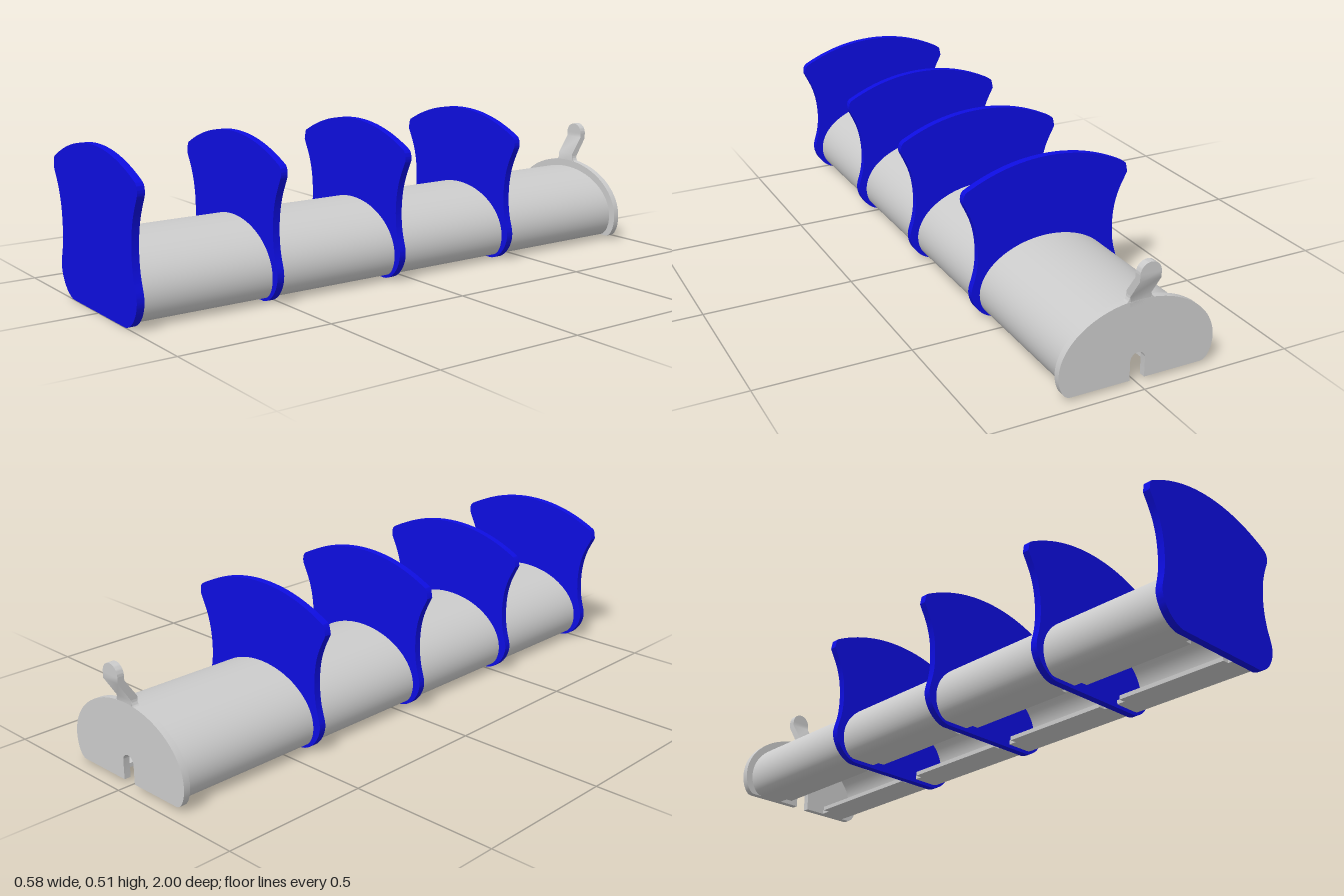
import * as THREE from 'three';
import { toCreasedNormals } from 'three/addons/utils/BufferGeometryUtils.js';

const grey = new THREE.MeshStandardMaterial({ color: 0xcccccc });
const blue = new THREE.MeshStandardMaterial({ color: 0x0d0de0 });

// Extrude a front-on outline from z0 to z1, smooth on curves and sharp at edges
function slab(name, shape, z0, z1, material) {
  const geo = new THREE.ExtrudeGeometry(shape, { depth: z1 - z0, bevelEnabled: false, curveSegments: 16 });
  geo.translate(0, 0, z0);
  const mesh = new THREE.Mesh(toCreasedNormals(geo, 0.6), material);
  mesh.name = name;
  return mesh;
}

// Domed section: half ellipse above springing height, rounded lower corners
function domePoints(rx, top, spring, bottom, flatX, gapX) {
  const pts = [new THREE.Vector2(gapX, bottom)];
  const corner = new THREE.CubicBezierCurve(
    new THREE.Vector2(flatX, bottom), new THREE.Vector2(flatX + (rx - flatX) * 0.6, bottom),
    new THREE.Vector2(rx, spring - (spring - bottom) * 0.5), new THREE.Vector2(rx, spring));
  pts.push(...corner.getPoints(10));
  for (let i = 1; i <= 24; i++) {
    const a = (i / 24) * Math.PI / 2;
    pts.push(new THREE.Vector2(rx * Math.cos(a), spring + (top - spring) * Math.sin(a)));
  }
  const mirrored = pts.slice(0, -1).reverse().map((p) => new THREE.Vector2(-p.x, p.y));
  return pts.concat(mirrored);
}

// Flared divider outline
function dividerShape() {
  const s = new THREE.Shape();
  s.moveTo(-0.18, 0);
  s.lineTo(0.18, 0);
  s.bezierCurveTo(0.225, 0.005, 0.262, 0.05, 0.263, 0.093);
  s.bezierCurveTo(0.264, 0.125, 0.24, 0.145, 0.24, 0.23);
  s.bezierCurveTo(0.242, 0.33, 0.275, 0.37, 0.289, 0.405);
  s.quadraticCurveTo(0.292, 0.432, 0.277, 0.441);
  s.quadraticCurveTo(0.145, 0.511, 0, 0.511);
  s.quadraticCurveTo(-0.145, 0.511, -0.277, 0.441);
  s.quadraticCurveTo(-0.285, 0.437, -0.286, 0.43);
  s.lineTo(-0.291, 0.405);
  s.bezierCurveTo(-0.275, 0.37, -0.242, 0.33, -0.242, 0.23);
  s.bezierCurveTo(-0.242, 0.145, -0.264, 0.125, -0.264, 0.093);
  s.bezierCurveTo(-0.262, 0.05, -0.225, 0.005, -0.18, 0);
  return s;
}

export function createModel() {
  const model = new THREE.Group();
  model.name = 'dividedTrough';

  // Hollow domed body, open along the underside
  const outer = domePoints(0.235, 0.245, 0.085, 0.012, 0.185, 0.1);
  const inner = domePoints(0.221, 0.231, 0.085, 0.026, 0.178, 0.1);
  model.add(slab('bodyShell', new THREE.Shape(outer.concat(inner.reverse())), -0.94, 0.98, grey));

  // Dividers, evenly spaced
  const plateZ = [0.988, 0.521, 0.054, -0.413];
  plateZ.forEach((z) => model.add(slab('divider', dividerShape(), z - 0.012, z + 0.012, blue)));

  // Lips along the opening, stopping short of each divider and the end cap
  const ends = [...plateZ, -0.94];
  for (let i = 0; i < 4; i++) {
    const length = ends[i] - ends[i + 1] - 0.08;
    for (const side of [-1, 1]) {
      const lip = new THREE.Mesh(new THREE.BoxGeometry(0.024, 0.014, length), grey);
      lip.name = 'openingLip';
      lip.position.set(side * 0.089, 0.019, (ends[i] + ends[i + 1]) / 2);
      model.add(lip);
    }
  }

  // Back cap with a round-topped notch in its lower edge
  const cap = new THREE.Shape(domePoints(0.26, 0.27, 0.085, 0.012, 0.22, 0.025));
  const notch = new THREE.Path().absarc(0, 0.075, 0.025, Math.PI, 0, true).getPoints(12);
  const capOutline = cap.getPoints().concat(notch);
  model.add(slab('backCap', new THREE.Shape(capOutline), -0.958, -0.936, grey));

  // Cranked neck of the handle, profile drawn in (-z, y) and swept across x
  const neckShape = new THREE.Shape([
    [0.936, 0.25], [0.958, 0.25], [0.958, 0.285], [1, 0.35], [1, 0.37],
    [0.977, 0.37], [0.977, 0.355], [0.936, 0.295],
  ].map(([u, v]) => new THREE.Vector2(u, v)));
  const neck = slab('handleNeck', neckShape, -0.035, 0.035, grey);
  neck.rotation.y = Math.PI / 2;
  model.add(neck);

  // Rounded handle tip
  const tip = new THREE.Shape();
  tip.moveTo(0.035, 0.37);
  tip.absarc(0, 0.37, 0.035, 0, Math.PI, false);
  model.add(slab('handleTip', tip, -1, -0.977, grey));

  // Small fillets where the handle meets the cap
  for (const side of [-1, 1]) {
    const f = new THREE.Shape();
    f.moveTo(side * 0.033, 0.255);
    f.lineTo(side * 0.055, 0.262);
    f.quadraticCurveTo(side * 0.036, 0.268, side * 0.035, 0.287);
    f.lineTo(side * 0.033, 0.287);
    model.add(slab('handleFillet', f, -0.957, -0.937, grey));
  }
  return model;
}
